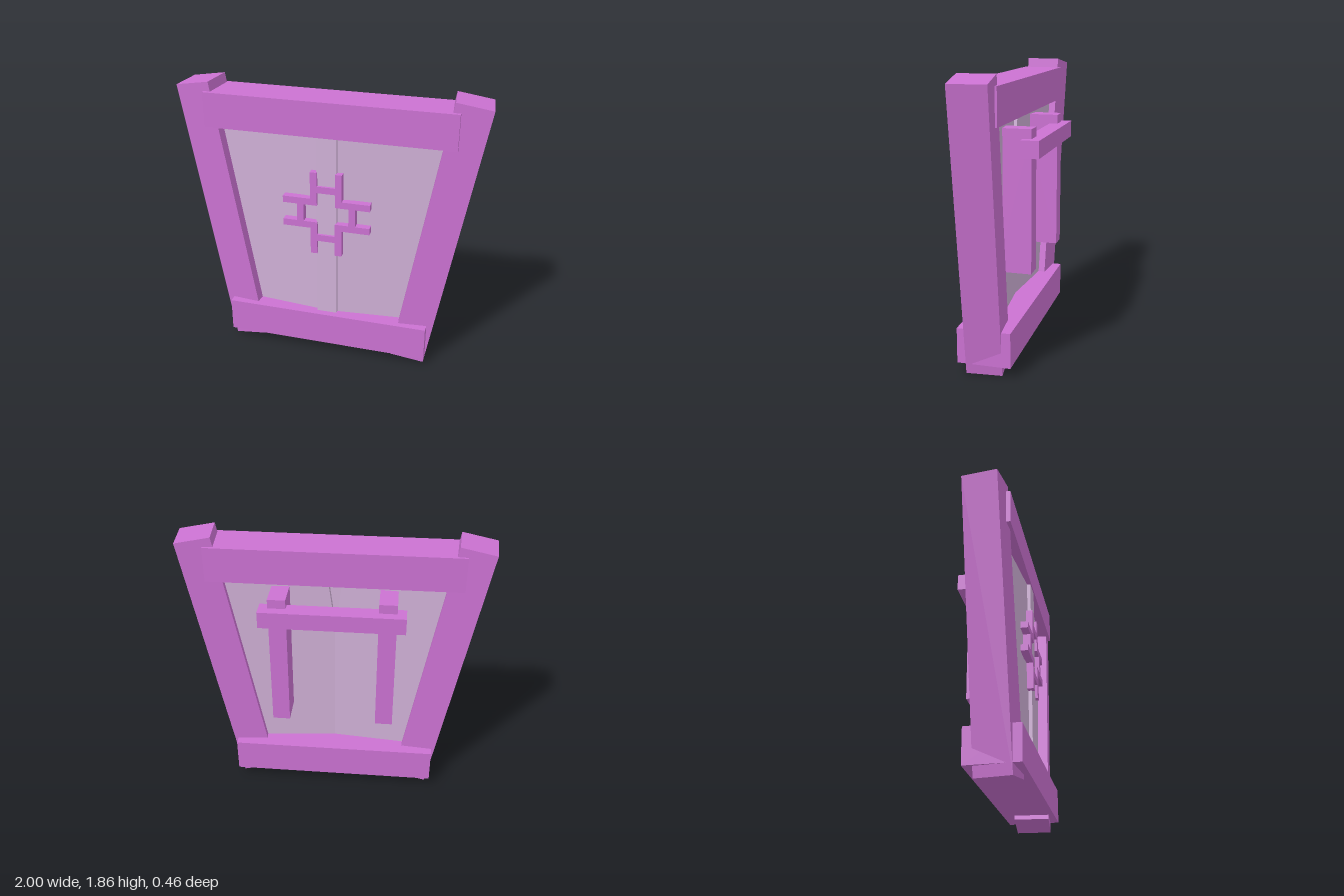
import * as THREE from 'three';

const wood = new THREE.MeshStandardMaterial({ color: 0xcb72d2, flatShading: true });
const paper = new THREE.MeshStandardMaterial({ color: 0xcfb0d6, flatShading: true });

// Box given by its limits on each axis
function box(name, [x0, x1], [y0, y1], [z0, z1], material = wood) {
  const mesh = new THREE.Mesh(new THREE.BoxGeometry(x1 - x0, y1 - y0, z1 - z0), material);
  mesh.position.set((x0 + x1) / 2, (y0 + y1) / 2, (z0 + z1) / 2);
  mesh.name = name;
  return mesh;
}

// Everything that exists once per side, built for +x
function createSide(name) {
  const side = new THREE.Group();
  side.name = name;
  const yaw = 0.087;

  // Leaning post, turned slightly outward
  const post = new THREE.Mesh(new THREE.BoxGeometry(0.23, 1.85, 0.23), wood);
  post.name = 'post';
  post.position.set(0.718, 0.932, 0.056);
  post.rotation.set(0, yaw, THREE.MathUtils.degToRad(-10));
  side.add(post);

  // Thick panel half, with a narrow gap opening towards the top of the seam
  const outline = [[0, 0.2], [0.54, 0.2], [0.79, 1.65], [0.06, 1.65], [0, 1.2]];
  const shape = new THREE.Shape(outline.map(([x, y]) => new THREE.Vector2(x, y)));
  const panel = new THREE.Mesh(
    new THREE.ExtrudeGeometry(shape, { depth: 0.115, bevelEnabled: false }), paper);
  panel.name = 'panel';
  panel.position.z = 0.05;
  panel.rotation.y = yaw;
  side.add(panel);

  // Upright handle support on the back
  side.add(box('handleUpright', [0.29, 0.405], [0.59, 1.51], [-0.17, 0.06]));

  // Side half of the lattice ornament
  const z = [0.15, 0.2];
  side.add(
    box('latticeUpperUpright', [0.06, 0.105], [1.11, 1.34], z),
    box('latticeLowerUpright', [0.06, 0.105], [0.76, 0.99], z),
    box('latticeUpperArm', [0.105, 0.29], [1.11, 1.155], z),
    box('latticeLowerArm', [0.105, 0.29], [0.945, 0.99], z),
    box('latticeSideLink', [0.15, 0.195], [0.99, 1.11], z),
  );
  return side;
}

export function createModel() {
  const model = new THREE.Group();
  model.name = 'panelFrame';

  const left = createSide('leftSide');
  const right = createSide('rightSide');
  right.scale.x = -1;
  model.add(left, right);

  // Cross beams
  model.add(
    box('topBeam', [-0.81, 0.81], [1.57, 1.8], [-0.08, 0.19]),
    box('bottomBeam', [-0.69, 0.69], [0.07, 0.3], [-0.115, 0.23]),
  );

  // Strip covering the panel seam
  model.add(box('centreStrip', [-0.067, 0.067], [0.25, 1.62], [0.14, 0.183], paper));

  // Lattice cross links
  model.add(
    box('latticeTopLink', [-0.06, 0.06], [1.2, 1.245], [0.15, 0.2]),
    box('latticeBottomLink', [-0.06, 0.06], [0.855, 0.9], [0.15, 0.2]),
  );

  // Handle rail on the back
  model.add(box('handleRail', [-0.463, 0.463], [1.34, 1.45], [-0.23, -0.115]));
  return model;
}
